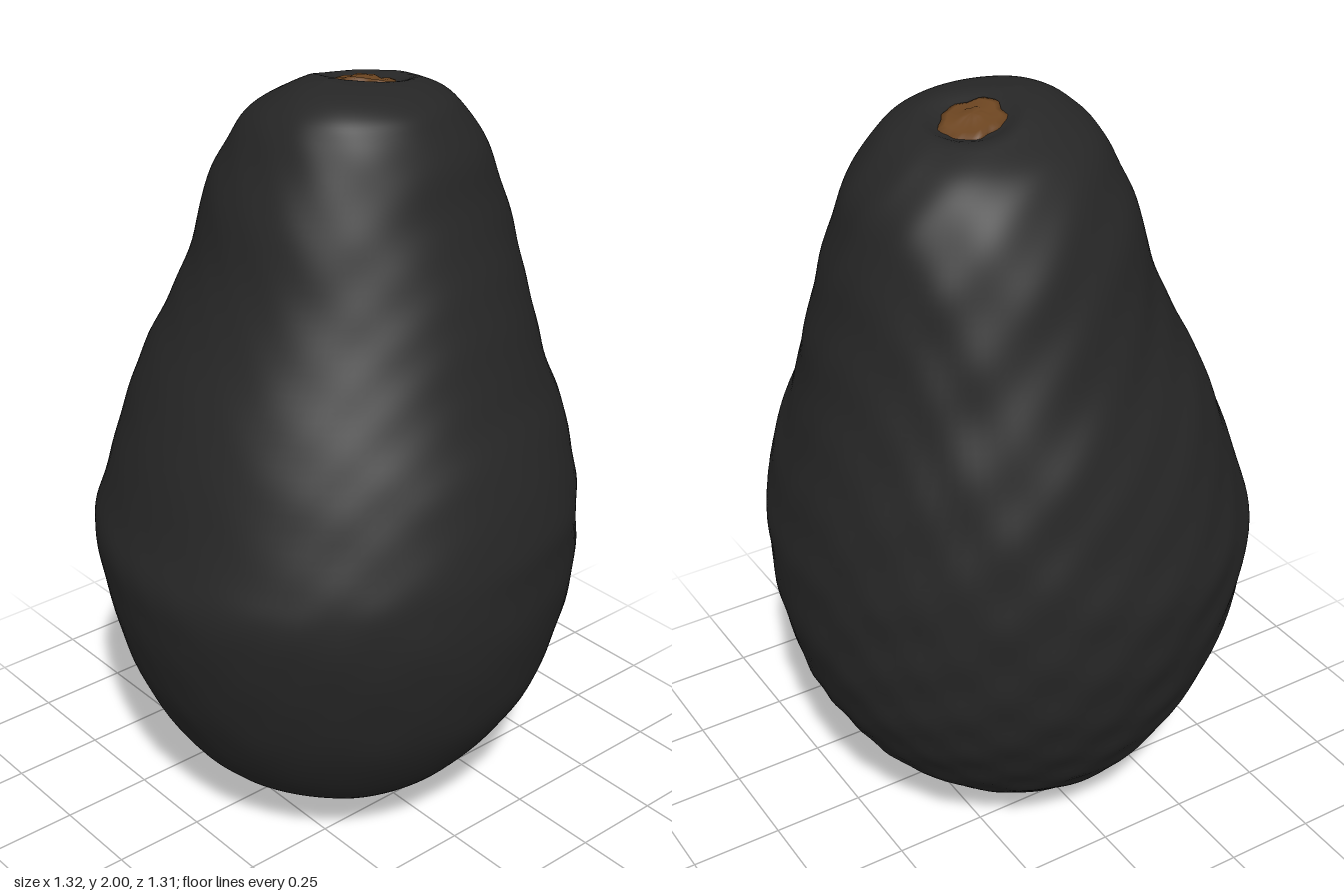
import * as THREE from 'three';

const skinMat = new THREE.MeshStandardMaterial({ color: 0x262626 });
skinMat.name = 'darkSkin';
const stemMat = new THREE.MeshStandardMaterial({ color: 0x6b4420 });
stemMat.name = 'stemBrown';

// Cross-sections from bottom to top: y, min x, max x, min z, max z
const SECTIONS = [
  [0.0, 0.08, 0.08, 0, 0],
  [0.008, -0.01, 0.15, -0.08, 0.09],
  [0.03, -0.07, 0.21, -0.17, 0.18],
  [0.07, -0.21, 0.29, -0.30, 0.30],
  [0.15, -0.395, 0.375, -0.41, 0.405],
  [0.25, -0.49, 0.48, -0.49, 0.495],
  [0.4, -0.57, 0.575, -0.57, 0.585],
  [0.55, -0.62, 0.625, -0.62, 0.63],
  [0.7, -0.65, 0.65, -0.645, 0.655],
  [0.82, -0.66, 0.655, -0.65, 0.655],
  [0.93, -0.625, 0.65, -0.64, 0.645],
  [1.1, -0.565, 0.62, -0.60, 0.59],
  [1.25, -0.5, 0.58, -0.555, 0.52],
  [1.4, -0.42, 0.545, -0.495, 0.46],
  [1.55, -0.35, 0.51, -0.445, 0.40],
  [1.7, -0.31, 0.47, -0.395, 0.34],
  [1.82, -0.255, 0.42, -0.335, 0.30],
  [1.9, -0.215, 0.355, -0.27, 0.26],
  [1.95, -0.17, 0.28, -0.18, 0.22],
  [1.985, -0.11, 0.17, -0.10, 0.14],
  [2.0, -0.04, -0.04, 0.01, 0.01],
];

const STEM_X = 0.12, STEM_Z = -0.03;

// Tilted seat at the top that holds the stem scar
const seatHeight = (x, z) => 1.958 - 0.2 * (x - STEM_X) + 0.15 * (z - STEM_Z);

// Rough, pebbly relief of the skin
function relief(x, y, z) {
  const broad = Math.sin(9 * x + 5 * y) * Math.sin(8 * z - 6 * y + 1) * 0.004;
  const fine = Math.sin(31 * y + 9 * x + 4 * Math.sin(7 * z)) * Math.sin(23 * z + 19 * x + 1.3) * 0.003;
  const rough = THREE.MathUtils.smoothstep(x - z, -0.4, 0.7);
  return broad + fine * (0.4 + rough);
}

// Closed rings of points joined from the first ring to the last
function loft(rings, segments, pointAt) {
  const positions = [], index = [];
  for (let i = 0; i <= rings; i++) {
    for (let j = 0; j < segments; j++) {
      positions.push(...pointAt(i / rings, (j / segments) * Math.PI * 2));
      if (i === rings) continue;
      const a = i * segments + j, b = i * segments + ((j + 1) % segments);
      const c = a + segments, d = b + segments;
      index.push(a, c, b, b, c, d);
    }
  }
  const geometry = new THREE.BufferGeometry();
  geometry.setAttribute('position', new THREE.Float32BufferAttribute(positions, 3));
  geometry.setIndex(index);
  geometry.computeVertexNormals();
  return geometry;
}

function makeSkin() {
  const curve = (lo, hi) => new THREE.CatmullRomCurve3(
    SECTIONS.map((s) => new THREE.Vector3(s[lo], s[0], s[hi])), false, 'catmullrom');
  const xs = curve(1, 2), zs = curve(3, 4);

  const geometry = loft(120, 128, (t, angle) => {
    const px = xs.getPoint(t), pz = zs.getPoint(t);
    const rx = (px.z - px.x) / 2, rz = (pz.z - pz.x) / 2;
    // Slightly lopsided outline
    const skew = 1 - 0.025 * Math.sin(2 * angle) + 0.01 * Math.sin(2 * angle) ** 2;
    const cos = Math.cos(angle), sin = Math.sin(angle);
    let x = (px.x + px.z) / 2 + rx * skew * cos;
    let z = (pz.x + pz.z) / 2 + rz * skew * sin;
    let y = px.y;
    const bump = relief(x, y, z) * Math.min(1, rx / 0.3);
    x += bump * cos;
    z += bump * sin;
    // Sink the skin onto the stem seat
    if (y > 1.85) {
      const away = Math.hypot(x - STEM_X, z - STEM_Z);
      const w = 1 - THREE.MathUtils.smoothstep(away, 0.07, 0.14);
      y += (seatHeight(x, z) - y) * w;
    }
    return [x, Math.max(0, y), z];
  });
  const mesh = new THREE.Mesh(geometry, skinMat);
  mesh.name = 'skin';
  return mesh;
}

function makeStemScar() {
  // Ragged button, from its buried rim in to the middle: radius, height
  const profile = [[0.078, -0.012], [0.078, 0.006], [0.062, 0.011], [0.042, 0.009], [0.024, 0.019], [0, 0.02]];
  const geometry = loft(profile.length - 1, 36, (t, angle) => {
    const [r, h] = profile[Math.round(t * (profile.length - 1))];
    const ragged = 1 + 0.05 * Math.sin(5 * angle + 1) + 0.04 * Math.sin(9 * angle);
    const x = STEM_X + r * ragged * 1.04 * Math.cos(angle);
    const z = STEM_Z + r * ragged * 0.95 * Math.sin(angle);
    return [x, seatHeight(x, z) + h + 0.04 * r * Math.sin(3 * angle), z];
  });
  const mesh = new THREE.Mesh(geometry, stemMat);
  mesh.name = 'stemScar';
  return mesh;
}

export function createModel() {
  const group = new THREE.Group();
  group.name = 'avocado';
  group.add(makeSkin(), makeStemScar());
  return group;
}
